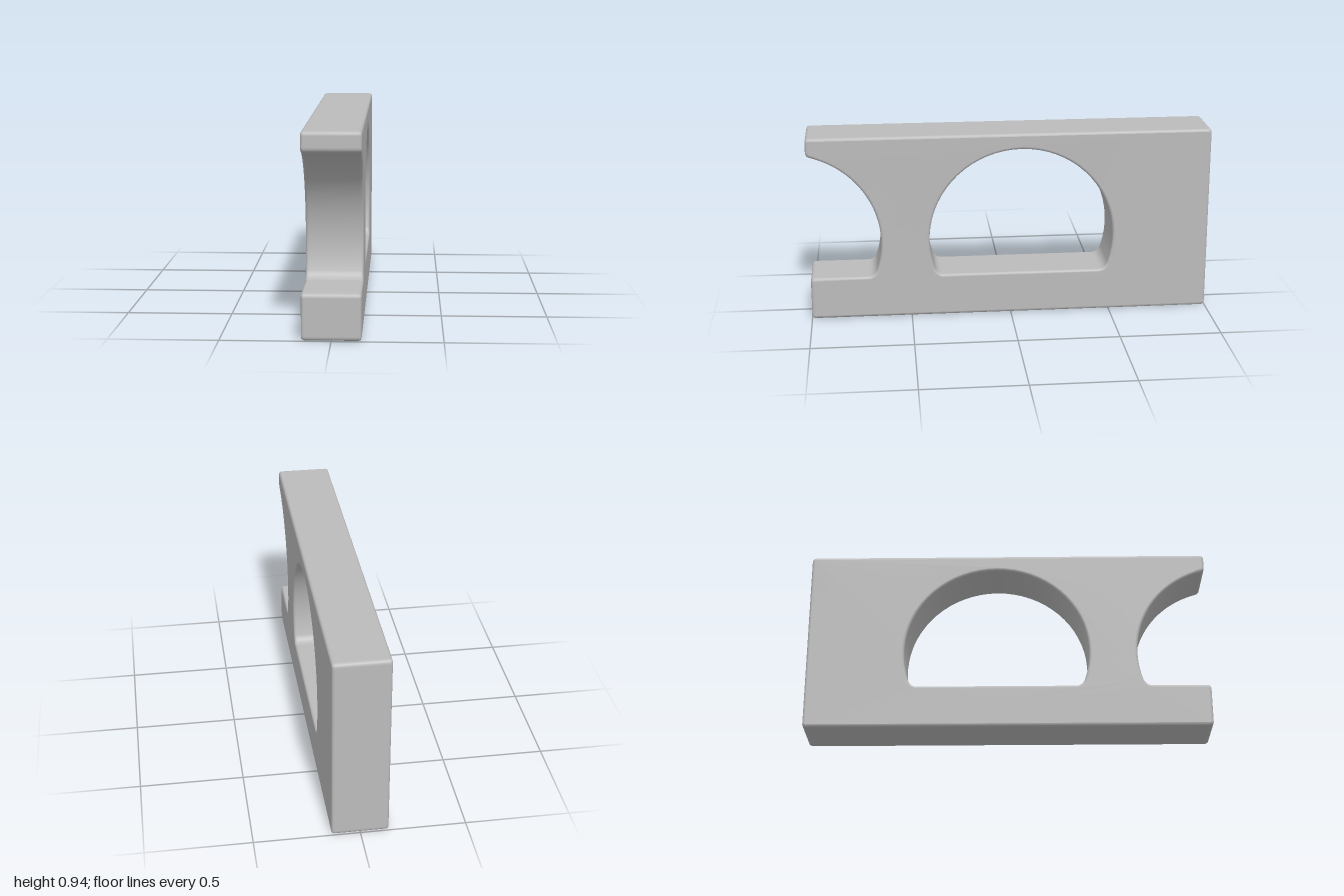
import * as THREE from 'three';
import { mergeVertices } from 'three/addons/utils/BufferGeometryUtils.js';

const WIDTH = 0.27, HEIGHT = 0.935, FLOOR = 0.215; // FLOOR: flat bottom of both openings
const R = 0.46, CY = 0.395;                        // radius and centre height of the round openings
const BEVEL = 0.014, ROUND = 0.022;
const LOW = 0.32;                                  // arc end below the centre line, before the fillet
const CORNER = Math.sqrt(R * R - (CY - FLOOR) ** 2);
const FLAT = CORNER - 0.033;

// Side profile drawn in (z, y)
function sideProfile() {
  const cz = 1.105;
  const s = new THREE.Shape();
  s.moveTo(-1 + ROUND, 0);
  s.lineTo(1 - ROUND, 0);
  s.quadraticCurveTo(1, 0, 1, ROUND);
  s.lineTo(1, FLOOR - ROUND);
  s.quadraticCurveTo(1, FLOOR, 1 - ROUND, FLOOR);
  // front notch, with a fillet at its floor and a softened upper tip
  s.lineTo(cz - FLAT, FLOOR);
  s.quadraticCurveTo(cz - CORNER, FLOOR, cz - R * Math.cos(LOW), CY - R * Math.sin(LOW));
  const tip = Math.acos((1 - cz) / R);
  const tipY = CY + R * Math.sin(tip);
  s.absarc(cz, CY, R, Math.PI + LOW, tip + 0.05, true);
  s.quadraticCurveTo(1, tipY, 1, tipY + ROUND);
  s.lineTo(1, HEIGHT - ROUND);
  s.quadraticCurveTo(1, HEIGHT, 1 - ROUND, HEIGHT);
  s.lineTo(-1 + ROUND, HEIGHT);
  s.quadraticCurveTo(-1, HEIGHT, -1, HEIGHT - ROUND);
  s.lineTo(-1, ROUND);
  s.quadraticCurveTo(-1, 0, -1 + ROUND, 0);
  return s;
}

// Flat-bottomed round window through the middle
function windowHole() {
  const cz = -0.055;
  const x = R * Math.cos(LOW), y = CY - R * Math.sin(LOW);
  const h = new THREE.Path();
  h.moveTo(cz + x, y);
  h.absarc(cz, CY, R, -LOW, Math.PI + LOW, false);
  h.quadraticCurveTo(cz - CORNER, FLOOR, cz - FLAT, FLOOR);
  h.lineTo(cz + FLAT, FLOOR);
  h.quadraticCurveTo(cz + CORNER, FLOOR, cz + x, y);
  return h;
}

export function createModel() {
  const group = new THREE.Group();
  group.name = 'slottedBlock';
  const grey = new THREE.MeshStandardMaterial({ color: 0xbbbbbb });
  grey.name = 'plain grey';

  const shape = sideProfile();
  shape.holes.push(windowHole());
  let geo = new THREE.ExtrudeGeometry(shape, {
    depth: WIDTH - 2 * BEVEL, curveSegments: 20,
    bevelEnabled: true, bevelThickness: BEVEL, bevelSize: BEVEL, bevelOffset: -BEVEL, bevelSegments: 3,
  });
  geo.translate(0, 0, -(WIDTH / 2 - BEVEL));
  geo.rotateY(-Math.PI / 2);

  // weld, so the rounded edges shade smoothly
  geo.deleteAttribute('uv');
  geo.deleteAttribute('normal');
  geo = mergeVertices(geo, 1e-5);
  geo.computeVertexNormals();

  const body = new THREE.Mesh(geo, grey);
  body.name = 'body';
  group.add(body);
  return group;
}
